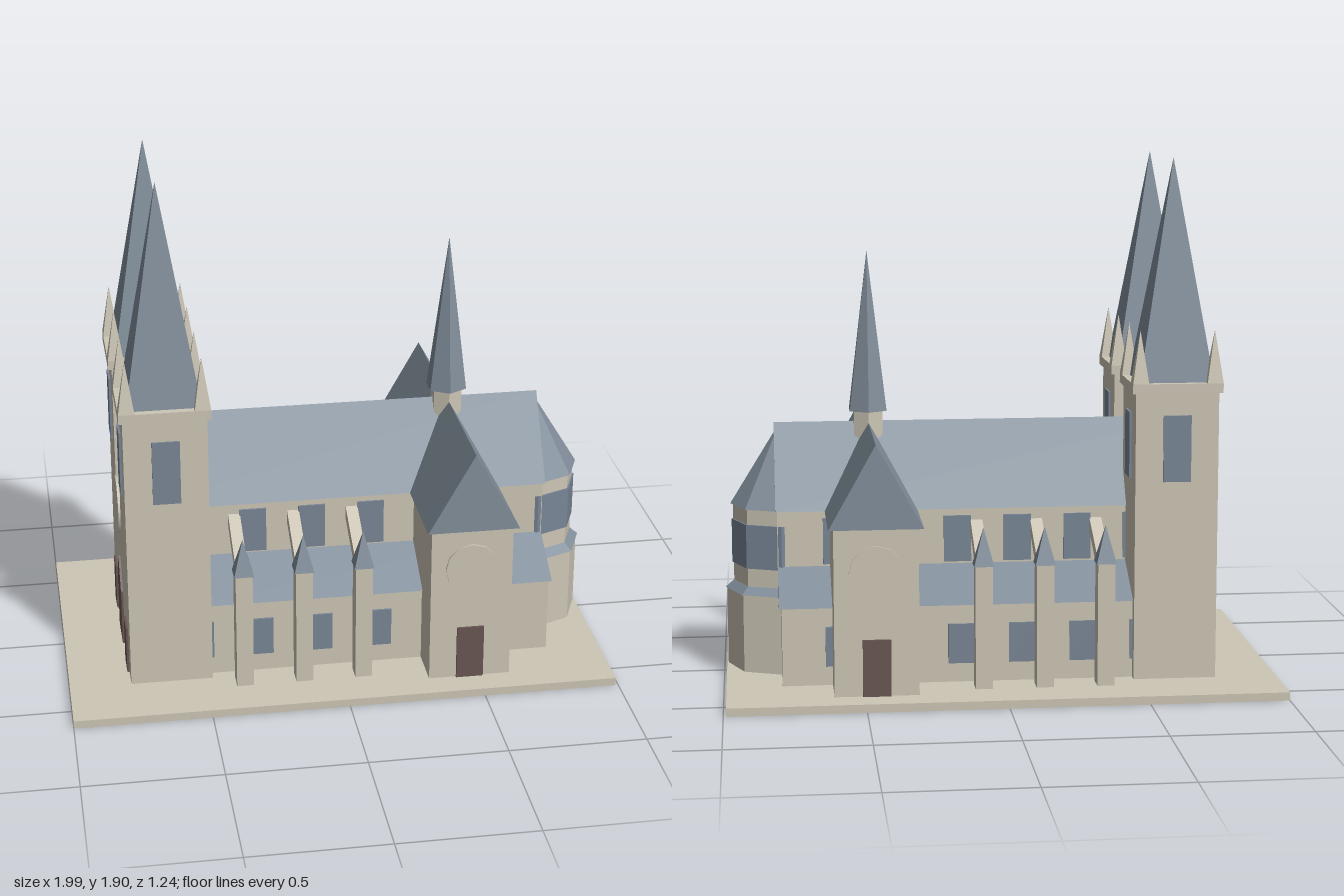
import * as THREE from 'three';

const mat = (name, color) => {
  const m = new THREE.MeshStandardMaterial({ color });
  m.name = name;
  return m;
};

export function createModel() {
  const model = new THREE.Group();
  model.name = 'cathedral';
  const stone = mat('stone', 0xcdc6b6);
  const slate = mat('slate', 0x818e9a);
  const glass = mat('glass', 0x798696);
  const wood = mat('darkWood', 0x6a5653);

  const add = (name, geo, material, parent = model) => {
    const mesh = new THREE.Mesh(geo, material);
    mesh.name = name;
    parent.add(mesh);
    return mesh;
  };
  // box given by its limits
  const box = (name, m, x0, x1, y0, y1, z0, z1, parent) => {
    const g = new THREE.BoxGeometry(x1 - x0, y1 - y0, Math.abs(z1 - z0));
    g.translate((x0 + x1) / 2, (y0 + y1) / 2, (z0 + z1) / 2);
    return add(name, g, m, parent);
  };
  // faceted drum or frustum
  const drum = (name, m, sides, rTop, rBottom, y0, y1, x, z, parent) => {
    let g = new THREE.CylinderGeometry(rTop, rBottom, y1 - y0, sides).toNonIndexed();
    g.computeVertexNormals();
    g.translate(x, (y0 + y1) / 2, z);
    return add(name, g, m, parent);
  };
  // four-sided pyramid with half widths hx, hz
  const pyramid = (name, m, hx, hz, y0, y1, x, z, parent) => {
    let g = new THREE.ConeGeometry(Math.SQRT2, y1 - y0, 4).toNonIndexed();
    g.rotateY(Math.PI / 4).scale(hx, 1, hz);
    g.computeVertexNormals();
    g.translate(x, (y0 + y1) / 2, z);
    return add(name, g, m, parent);
  };
  // profile of [z, y] points drawn out along x
  const alongX = (name, m, pts, x0, x1, parent) => {
    const shape = new THREE.Shape(pts.map(([z, y]) => new THREE.Vector2(-z, y)));
    const g = new THREE.ExtrudeGeometry(shape, { depth: x1 - x0, bevelEnabled: false });
    g.rotateY(Math.PI / 2).translate(x0, 0, 0);
    return add(name, g, m, parent);
  };
  const T = 0.008; // thickness of windows and doors

  // ground slab
  box('plinth', stone, -1, 0.99, 0, 0.03, -0.62, 0.62);

  // nave and transept
  box('naveWalls', stone, -0.775, 0.8, 0.03, 0.635, -0.175, 0.175);
  alongX('naveRoof', slate, [[-0.19, 0.632], [0.19, 0.632], [0, 0.932]], -0.765, 0.806);
  box('transeptWalls', stone, 0.31, 0.61, 0.03, 0.635, -0.517, 0.517);
  const transeptRoof = alongX('transeptRoof', slate,
    [[-0.168, 0.632], [0.168, 0.632], [0, 0.932]], -0.537, 0.537);
  transeptRoof.rotation.y = Math.PI / 2;
  transeptRoof.position.x = 0.46;

  for (const s of [-1, 1]) {
    // side aisle with lean-to roof
    box('aisleWalls', stone, -0.6, 0.79, 0.03, 0.32, s * 0.17, s * 0.355);
    alongX('aisleRoof', slate, [[s * 0.367, 0.315], [s * 0.17, 0.315], [s * 0.17, 0.43]], -0.6, 0.8);

    // aisle and clerestory windows
    for (let i = 0; i < 6; i++) {
      const x = -0.515 + i * 0.22;
      box('aisleWindow', glass, x - 0.05, x + 0.05, 0.1, 0.245, s * 0.355, s * (0.355 + T));
      box('clerestoryWindow', glass, x - 0.05, x + 0.05, 0.435, 0.605, s * 0.175, s * (0.175 + T));
    }

    // piers with flying buttresses
    for (let i = 0; i < 3; i++) {
      const x = -0.363 + i * 0.219;
      box('buttressPier', stone, x - 0.031, x + 0.031, 0.03, 0.475, s * 0.395, s * 0.465);
      pyramid('pierCap', slate, 0.036, 0.037, 0.475, 0.61, x, s * 0.43);
      alongX('flyingButtress', stone,
        [[s * 0.17, 0.59], [s * 0.42, 0.465], [s * 0.42, 0.415], [s * 0.17, 0.54]], x - 0.022, x + 0.022);
    }

    // transept front: door and round window
    box('transeptDoor', wood, 0.41, 0.51, 0.03, 0.235, s * 0.517, s * (0.517 + T));
    const rose = new THREE.CylinderGeometry(0.097, 0.097, T, 12);
    rose.rotateX(Math.PI / 2).translate(0.46, 0.475, s * (0.517 + T / 2));
    add('transeptRose', rose, stone);

    // tower
    const tower = new THREE.Group();
    tower.name = s > 0 ? 'frontTower' : 'backTower';
    tower.position.set(-0.625, 0, s * 0.25);
    model.add(tower);
    const hx = 0.15, hz = 0.14;
    box('towerShaft', stone, -hx, hx, 0.03, 1.08, -hz, hz, tower);
    box('towerCornice', stone, -0.163, 0.163, 1.075, 1.11, -0.152, 0.152, tower);
    pyramid('towerSpire', slate, 0.134, 0.125, 1.11, 1.904, 0, 0, tower);
    for (const a of [-1, 1]) {
      box('belfryWindow', glass, -0.05, 0.05, 0.755, 0.995, a * hz, a * (hz + T), tower);
      const x = a * (hx + T / 2);
      box('belfryWindow', glass, x - T / 2, x + T / 2, 0.755, 0.995, -0.05, 0.05, tower);
      for (const b of [-1, 1])
        pyramid('towerPinnacle', stone, 0.029, 0.028, 1.11, 1.3, a * 0.134, b * 0.124, tower);
    }
    box('towerDoor', wood, -hx - T, -hx, 0.03, 0.21, -0.05, 0.05, tower);
  }

  // west front: pointed portal and round window
  alongX('westPortal', wood,
    [[-0.08, 0.03], [0.08, 0.03], [0.08, 0.25], [0, 0.36], [-0.08, 0.25]], -0.775 - T, -0.775);
  const westRose = new THREE.CylinderGeometry(0.108, 0.108, T, 12);
  westRose.rotateZ(Math.PI / 2).translate(-0.775 - T / 2, 0.575, 0);
  add('westRose', westRose, stone);

  // eight-sided apse
  const ax = 0.785;
  drum('apseAmbulatory', stone, 8, 0.2, 0.2, 0.03, 0.32, ax, 0);
  drum('ambulatoryRoof', slate, 8, 0.175, 0.206, 0.318, 0.345, ax, 0);
  drum('apseDrum', stone, 8, 0.174, 0.174, 0.3, 0.635, ax, 0);
  drum('apseWindowBand', glass, 8, 0.18, 0.18, 0.413, 0.575, ax, 0);
  drum('apseRoof', slate, 8, 0, 0.184, 0.632, 0.93, ax, 0);

  // crossing turret
  drum('crossingTurret', stone, 6, 0.06, 0.06, 0.75, 0.975, 0.46, 0);
  drum('crossingSpire', slate, 6, 0, 0.078, 0.973, 1.56, 0.46, 0);

  return model;
}
